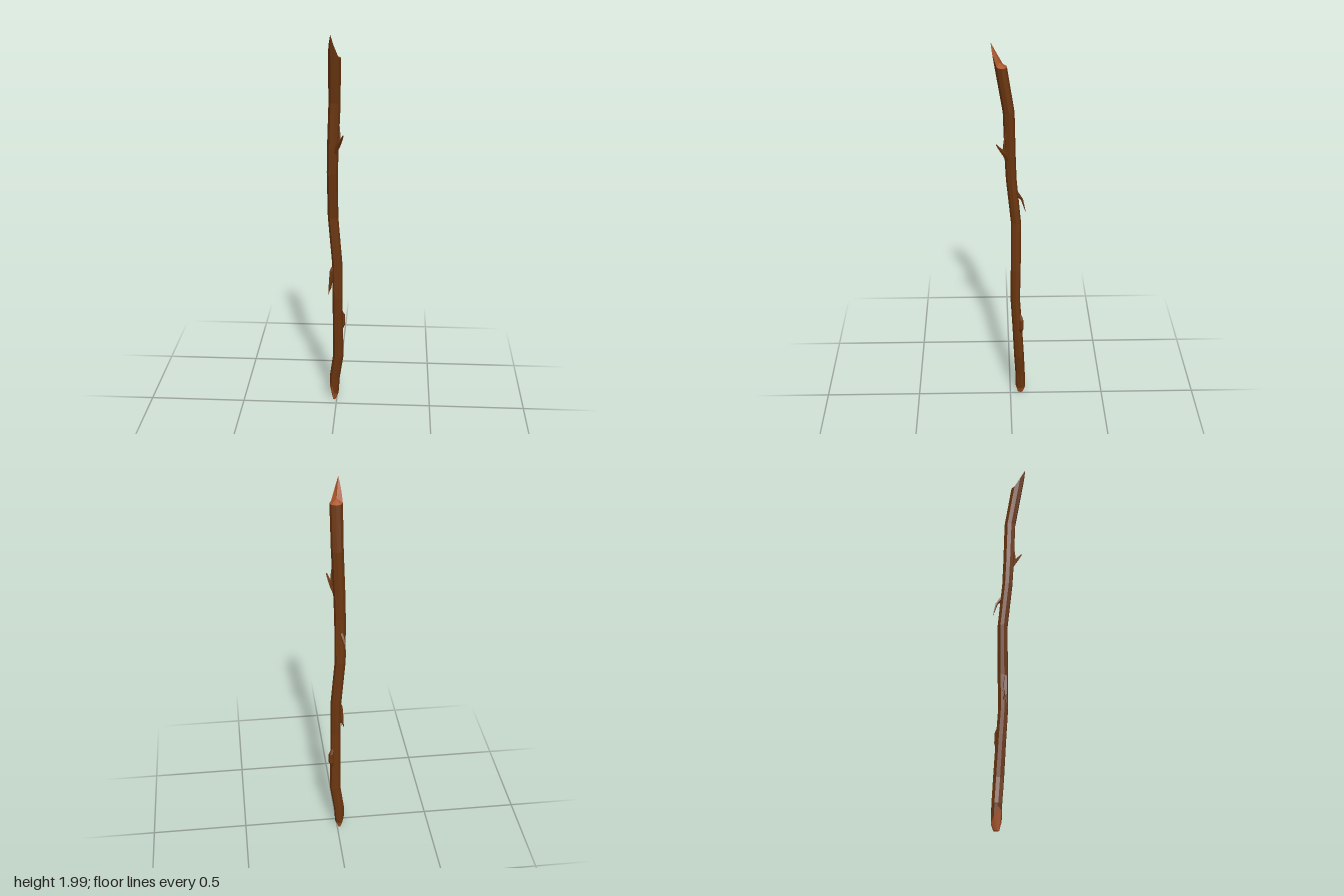
import * as THREE from 'three';

const SIDES = 9;
const bark = new THREE.MeshStandardMaterial({ color: 0x6b3610, flatShading: true });
const wood = new THREE.MeshStandardMaterial({ color: 0xa85428, flatShading: true });
const V = (x, y, z) => new THREE.Vector3(x, y, z);

// Skin a list of equal-length rings
function loft(name, rings, material) {
  const n = rings[0].length, pos = [], index = [];
  rings.forEach(r => r.forEach(p => pos.push(p.x, p.y, p.z)));
  for (let j = 0; j < rings.length - 1; j++) {
    for (let i = 0; i < n; i++) {
      const k = (i + 1) % n, l = j * n, u = l + n;
      index.push(l + i, u + i, u + k, l + i, u + k, l + k);
    }
  }
  const g = new THREE.BufferGeometry();
  g.setAttribute('position', new THREE.Float32BufferAttribute(pos, 3));
  g.setIndex(index);
  g.computeVertexNormals();
  const mesh = new THREE.Mesh(g, material);
  mesh.name = name;
  return mesh;
}

// Level ring, slightly irregular; height may vary with the angle
function ring(x, y, z, rx, rz = rx, height = () => y) {
  return Array.from({ length: SIDES }, (_, i) => {
    const a = i / SIDES * Math.PI * 2;
    const k = 1 + 0.06 * Math.sin(i * 2.4 + 1);
    return V(x + Math.cos(a) * rx * k, height(a), z + Math.sin(a) * rz * k);
  });
}
const collapsed = p => Array.from({ length: SIDES }, () => p.clone());

// Tapering twig along points [x, y, z, radius], closed at both ends
function twig(name, pts, sides = 5) {
  const c = pts.map(p => V(p[0], p[1], p[2]));
  const rings = c.map((p, j) => {
    const t = c[Math.min(j + 1, c.length - 1)].clone().sub(c[Math.max(j - 1, 0)]).normalize();
    const ref = Math.abs(t.z) > 0.9 ? V(1, 0, 0) : V(0, 0, 1);
    const n = ref.cross(t).normalize(), b = n.clone().cross(t);
    return Array.from({ length: sides }, (_, i) => {
      const a = i / sides * Math.PI * 2;
      return p.clone().addScaledVector(n, Math.cos(a) * pts[j][3]).addScaledVector(b, Math.sin(a) * pts[j][3]);
    });
  });
  const end = p => Array.from({ length: sides }, () => p.clone());
  return loft(name, [end(c[0]), ...rings, end(c[c.length - 1])], bark);
}

export function createModel() {
  const group = new THREE.Group();
  group.name = 'branch';

  // Ends: the foot is chipped on its left face, the top breaks into a tall splinter
  const foot = ring(-0.014, 0.06, -0.055, 0.023, 0.027,
    a => 0.045 + 0.08 * Math.max(0, Math.cos(a - 2.6)) ** 2);
  const ridge = ring(-0.013, 0.01, -0.055, 0.008, 0.015);
  const top = ring(-0.008, 1.9, 0.045, 0.031, 0.03,
    a => 1.885 + 0.105 * Math.max(0, Math.cos(a - 2.1)) ** 2);
  // The splinter leans forward with the stem and narrows towards its tip
  top.forEach(p => {
    const rise = p.y - 1.885;
    p.z += rise * 0.2;
    p.x -= (p.x + 0.02) * rise * 3;
  });
  const tip = top.reduce((m, p) => (p.y > m.y ? p : m));
  tip.y = 2;

  // Crooked stem
  const stem = [
    [-0.012, 0.14, -0.053, 0.027],
    [0.007, 0.27, -0.046, 0.028],
    [0.006, 0.45, -0.036, 0.027],
    [0.004, 0.62, -0.025, 0.026],
    [0.003, 0.8, -0.027, 0.027],
    [-0.019, 1.06, -0.028, 0.027],
    [-0.021, 1.3, -0.004, 0.028],
    [-0.018, 1.43, 0.002, 0.029],
    [-0.009, 1.66, 0.009, 0.03],
  ].map(([x, y, z, r]) => ring(x, y, z, r));
  group.add(
    loft('stem', [foot, ...stem, top], bark),
    loft('footCut', [collapsed(V(-0.013, 0.01, -0.055)), ridge, foot], wood),
    loft('topBreak', [top, collapsed(V(-0.01, 1.905, 0.052))], wood),
  );

  // Forked twig near the top
  group.add(
    twig('forkTwig', [[-0.005, 1.41, 0.015, 0.012], [0.012, 1.45, 0.03, 0.013],
      [0.025, 1.475, 0.048, 0.008], [0.038, 1.51, 0.07, 0.003]]),
    twig('forkProng', [[0.012, 1.45, 0.03, 0.011], [0.018, 1.5, 0.031, 0.006], [0.016, 1.56, 0.026, 0.002]]),
  );

  // Drooping twig at the back
  group.add(twig('hookTwig', [[-0.022, 1.23, -0.028, 0.008], [-0.031, 1.2, -0.045, 0.009],
    [-0.036, 1.18, -0.058, 0.006], [-0.042, 1.11, -0.076, 0.001]]));

  // Peeling bark with two hanging slivers
  group.add(
    twig('barkFlake', [[-0.018, 0.79, -0.012, 0.008], [-0.025, 0.77, -0.01, 0.011],
      [-0.03, 0.71, -0.01, 0.01], [-0.041, 0.64, -0.008, 0.001]]),
    twig('barkSliver', [[-0.024, 0.76, -0.016, 0.008], [-0.027, 0.71, -0.019, 0.007], [-0.03, 0.66, -0.022, 0.001]]),
  );

  // Knot low on the side
  group.add(twig('knot', [[0.022, 0.53, -0.048, 0.008], [0.031, 0.505, -0.055, 0.013],
    [0.031, 0.455, -0.056, 0.014], [0.02, 0.42, -0.05, 0.008]], 6));

  return group;
}
